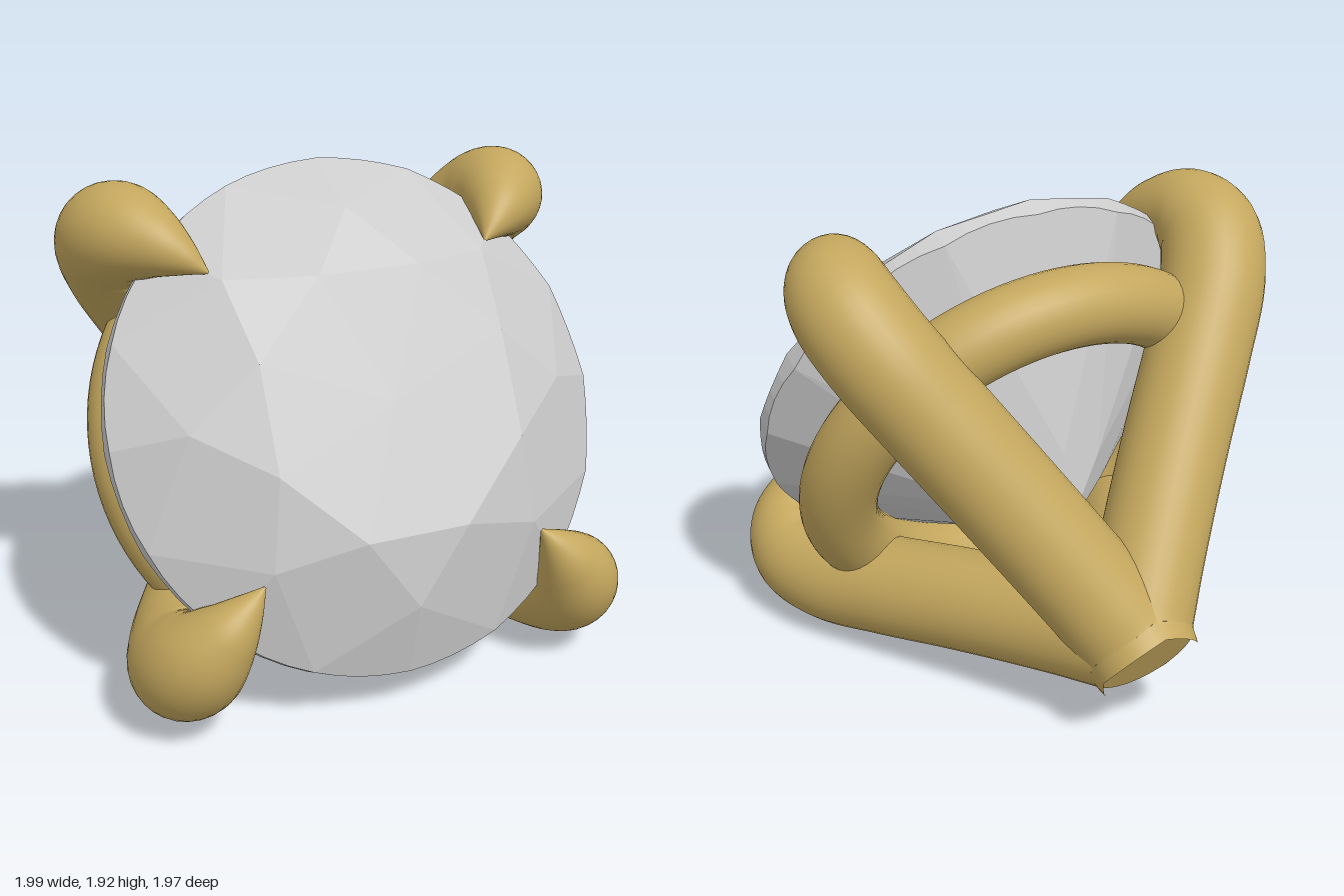
import * as THREE from 'three';

const EIGHTH = Math.PI / 4;

// Round sweep in the x-z plane; each path point is (distance from axis, height, thickness)
function clawGeometry(points, steps = 72, sides = 32) {
  const curve = new THREE.CatmullRomCurve3(points.map(p => new THREE.Vector3(...p)));
  const pos = [], index = [];
  for (let i = 0; i <= steps; i++) {
    const u = i / steps;
    const p = curve.getPoint(u), t = curve.getTangent(u);
    const len = Math.hypot(t.x, t.y);
    const nx = t.y / len, nz = -t.x / len;
    for (let j = 0; j < sides; j++) {
      const a = (j / sides) * Math.PI * 2;
      const c = Math.cos(a) * p.z, s = Math.sin(a) * p.z;
      pos.push(p.x + nx * c, s, p.y + nz * c);
      if (i < steps) {
        const k = (j + 1) % sides, r0 = i * sides, r1 = r0 + sides;
        index.push(r0 + j, r0 + k, r1 + k, r0 + j, r1 + k, r1 + j);
      }
    }
  }
  const g = new THREE.BufferGeometry();
  g.setAttribute('position', new THREE.Float32BufferAttribute(pos, 3));
  g.setIndex(index);
  g.computeVertexNormals();
  return g;
}

// Round brilliant cut, axis along z
function gemGeometry() {
  const R = 0.98, arc = 4;
  const centre = new THREE.Vector3(0, 0, 1.45);
  const pos = [];
  const polar = (r, a, z) => new THREE.Vector3(r * Math.cos(a), r * Math.sin(a), z);
  // Adds a triangle facing away from the gem's centre
  const tri = (a, b, c) => {
    const n = b.clone().sub(a).cross(c.clone().sub(a));
    if (n.length() < 1e-7) return;
    const out = a.clone().add(b).add(c).divideScalar(3).sub(centre);
    for (const v of n.dot(out) > 0 ? [a, b, c] : [a, c, b]) pos.push(v.x, v.y, v.z);
  };
  // One side of the stone; returns its wavy girdle edge
  const half = (rFlat, zFlat, rStar, zEdge) => {
    const edge = [];
    const f = (rStar * Math.cos(EIGHTH / 2) - rFlat) / (R - rFlat);
    const zStar = zFlat + (zEdge - zFlat) * f;
    for (let k = 0; k < 8; k++) {
      const a = k * EIGHTH, m = a + EIGHTH / 2;
      const star = polar(rStar, a, zStar), next = polar(rStar, a + EIGHTH, zStar);
      const corner = polar(rFlat, m, zFlat), rim = polar(R, m, zEdge);
      // table, star facet and main kite
      tri(new THREE.Vector3(0, 0, zFlat), polar(rFlat, m - EIGHTH, zFlat), corner);
      tri(star, polar(rFlat, m - EIGHTH, zFlat), corner);
      tri(corner, star, rim);
      tri(corner, rim, next);
      // two half facets, each ending in an arc cut from the girdle
      [[a, star], [m, next]].forEach(([from, apex]) => {
        const chord = R * Math.cos(EIGHTH / 4);
        const apexIn = rStar * Math.cos(EIGHTH / 4);
        const slope = (zEdge - zStar) / (chord - apexIn);
        const pts = [];
        for (let i = 0; i <= arc; i++) {
          const d = (i / arc - 0.5) * EIGHTH / 2;
          pts.push(polar(R, from + EIGHTH / 4 + d, zEdge + slope * (R * Math.cos(d) - chord)));
        }
        for (let i = 0; i < arc; i++) {
          tri(apex, pts[i], pts[i + 1]);
          edge.push(pts[i]);
        }
      });
    }
    return edge;
  };
  const top = half(0.52, 1.79, 0.74, 1.49);
  const bottom = half(0, 0.62, 0.25, 1.41);
  // girdle wall
  top.forEach((p, i) => {
    const j = (i + 1) % top.length;
    tri(p, top[j], bottom[j]);
    tri(p, bottom[j], bottom[i]);
  });
  const g = new THREE.BufferGeometry();
  g.setAttribute('position', new THREE.Float32BufferAttribute(pos, 3));
  g.computeVertexNormals();
  return g;
}

export function createModel() {
  const model = new THREE.Group();
  model.name = 'gemSetting';
  const gold = new THREE.MeshStandardMaterial({ color: 0xc4a75e });
  const stone = new THREE.MeshStandardMaterial({ color: 0xcccccc, flatShading: true });

  // Everything is built around z, then tipped back
  const setting = new THREE.Group();
  setting.name = 'tiltedSetting';
  setting.position.set(0, 0.36, -0.87);
  setting.rotation.x = THREE.MathUtils.degToRad(-27);
  model.add(setting);
  const add = (name, geometry, material) => {
    const mesh = new THREE.Mesh(geometry, material);
    mesh.name = name;
    setting.add(mesh);
    return mesh;
  };

  add('gem', gemGeometry(), stone);

  // Four prongs that hook over the stone
  const claw = clawGeometry([
    [0, 0, 0.21], [0.03, 0.1, 0.21], [0.13, 0.22, 0.21], [0.32, 0.42, 0.21],
    [0.57, 0.67, 0.21], [0.82, 0.91, 0.21], [1.03, 1.13, 0.21], [1.12, 1.31, 0.205],
    [1.09, 1.45, 0.185], [0.99, 1.56, 0.13], [0.89, 1.62, 0.07], [0.79, 1.66, 0.004],
  ]);
  for (let k = 0; k < 4; k++) {
    add('prong', claw, gold).rotation.z = EIGHTH + k * EIGHTH * 2;
  }

  // Flat-ended base where the prongs meet
  const base = add('baseStem', new THREE.CylinderGeometry(0.21, 0.21, 0.14, 48), gold);
  base.rotation.x = Math.PI / 2;
  base.position.z = 0.07;

  // Ring that ties the prongs together below the stone
  const ring = add('supportRing', new THREE.TorusGeometry(0.8, 0.155, 28, 96), gold);
  ring.position.z = 1.09;

  return model;
}
